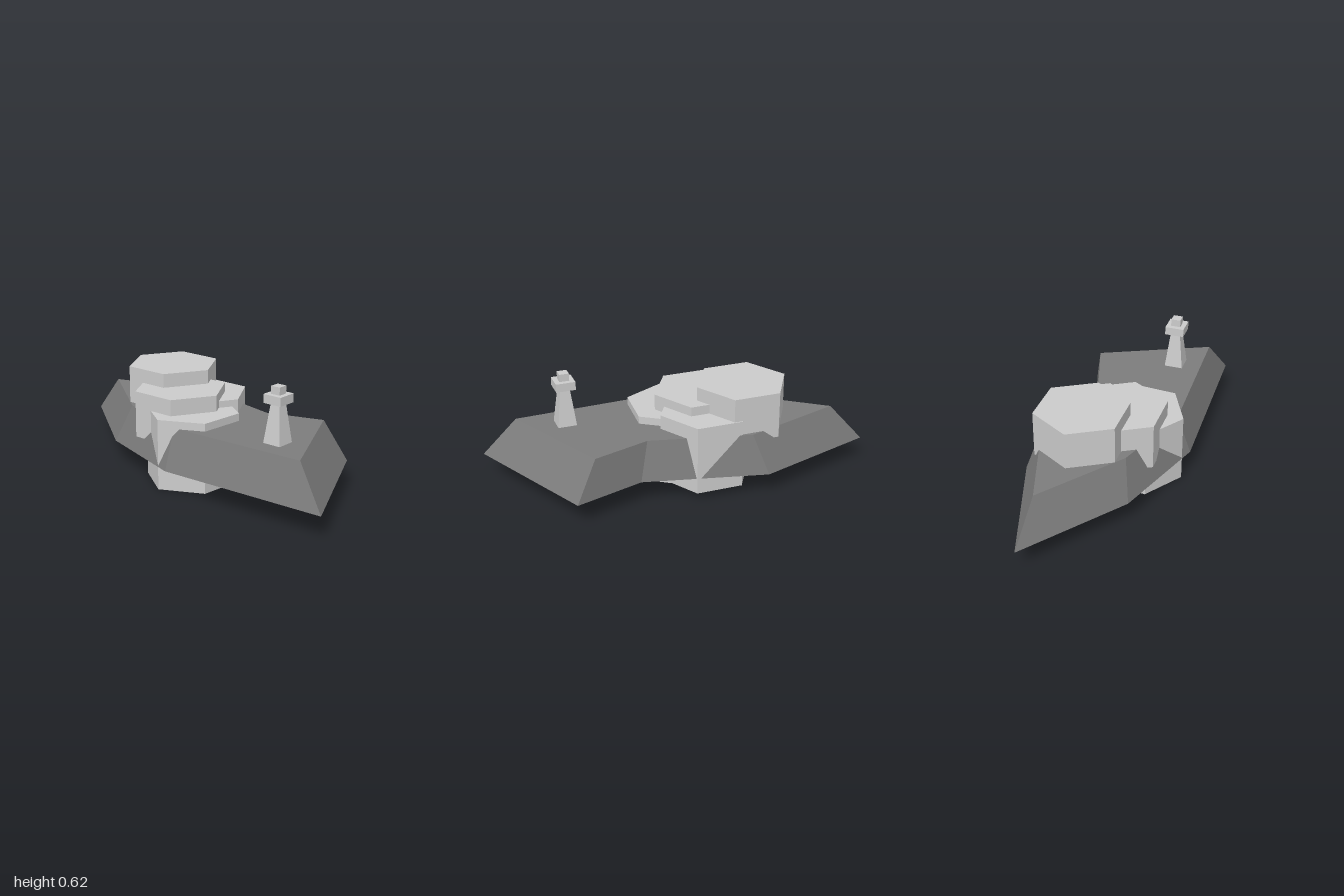
import * as THREE from 'three';

export function createModel() {
  const model = new THREE.Group();
  const stone = new THREE.MeshStandardMaterial({ color: 0xcccccc, flatShading: true });
  const ground = new THREE.MeshStandardMaterial({ color: 0x7c7c7c, flatShading: true });

  function add(name, geometry, material = stone, parent = model) {
    const mesh = new THREE.Mesh(geometry, material);
    mesh.name = name;
    parent.add(mesh);
    return mesh;
  }

  // Island slab: outline as [x, z], extruded upwards and tapered at the top
  const outline = [
    [0.18, -1], [0.389, -0.35], [0.237, 0.3], [0.352, 0.669],
    [-0.355, 0.998], [-0.39, 0.06], [-0.214, -0.473],
  ];
  const slabBottom = 0.124, slabTop = 0.336, taper = 0.82;
  const shape = new THREE.Shape(outline.map(([x, z]) => new THREE.Vector2(x, -z)));
  const slab = new THREE.ExtrudeGeometry(shape, { depth: slabTop - slabBottom, bevelEnabled: false });
  slab.rotateX(-Math.PI / 2).translate(0, slabBottom, 0);
  const p = slab.attributes.position;
  for (let i = 0; i < p.count; i++) {
    if (p.getY(i) > 0.2) {
      p.setX(i, p.getX(i) * taper + 0.004);
      p.setZ(i, p.getZ(i) * taper + 0.006);
    }
  }
  slab.computeVertexNormals();
  add('islandSlab', slab, ground);

  // Six-sided rock columns: [x, z, bottom, top, turn in degrees]
  const rocks = [
    [0.085, -0.311, 0.288, 0.538, 0],
    [-0.059, -0.128, 0.213, 0.463, 0],
    [0.091, -0.107, 0.039, 0.413, 0],
    [-0.115, 0.005, 0, 0.377, 26],
  ];
  rocks.forEach(([x, z, bottom, top, turn], i) => {
    const rock = new THREE.CylinderGeometry(0.25, 0.25, top - bottom, 6);
    rock.rotateY(THREE.MathUtils.degToRad(turn));
    add(`rockColumn${i + 1}`, rock).position.set(x, (bottom + top) / 2, z);
  });

  // Lighthouse: square tapered tower, gallery and lantern
  const lighthouse = new THREE.Group();
  lighthouse.name = 'lighthouse';
  lighthouse.position.set(-0.15, slabTop, 0.589);
  model.add(lighthouse);
  const towerHeight = 0.204;
  const tower = new THREE.CylinderGeometry(0.026 * Math.SQRT2, 0.05 * Math.SQRT2, towerHeight, 4);
  tower.rotateY(Math.PI / 4);
  add('tower', tower, stone, lighthouse).position.y = towerHeight / 2;
  const gallery = new THREE.BoxGeometry(0.104, 0.045, 0.104);
  add('gallery', gallery, stone, lighthouse).position.y = towerHeight + 0.0225;
  const lantern = new THREE.BoxGeometry(0.052, 0.04, 0.052);
  add('lantern', lantern, stone, lighthouse).position.y = towerHeight + 0.065;

  return model;
}
